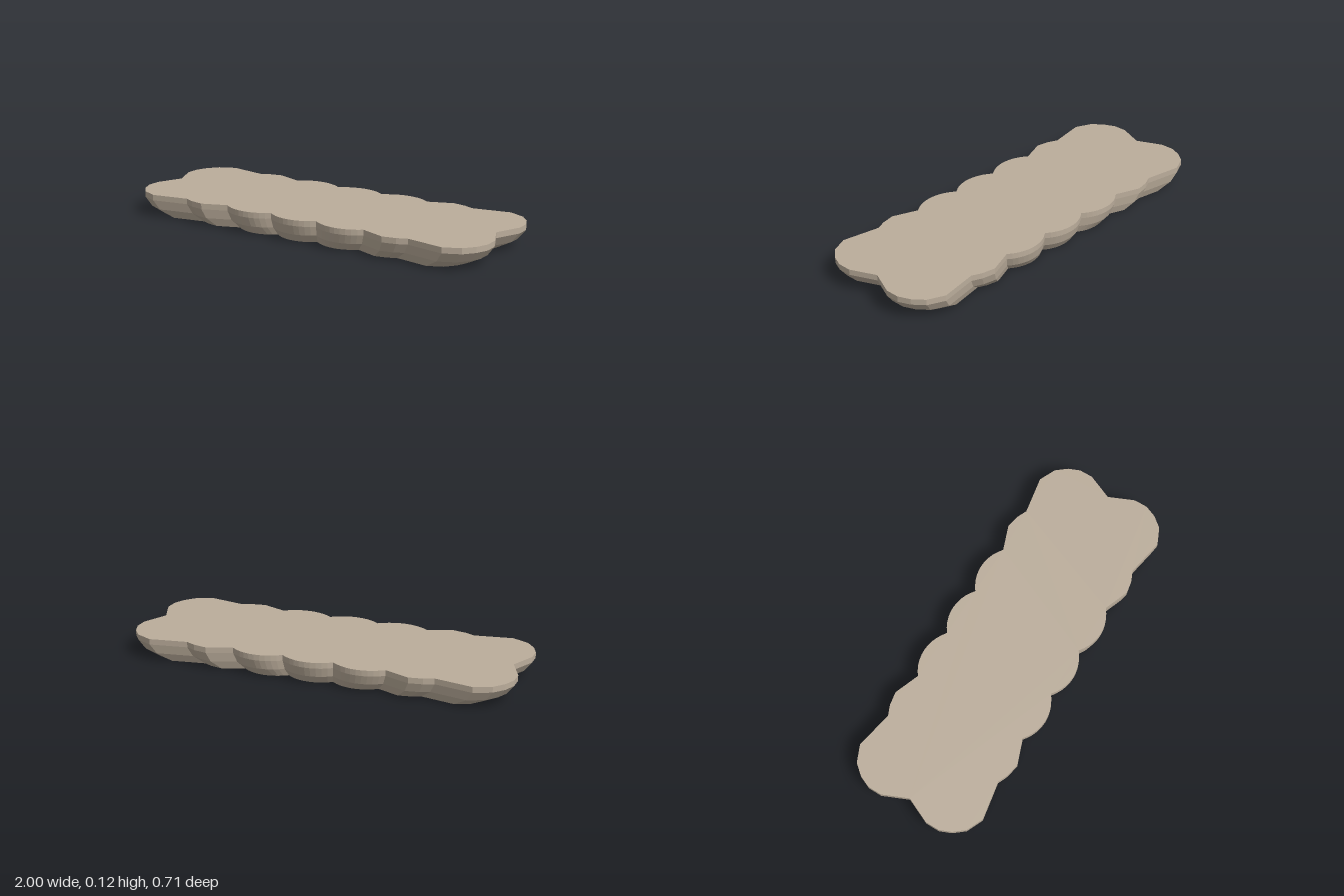
import * as THREE from 'three';

// One quarter of the scalloped rim, from the middle of the long side to the middle of the short end
function quarterOutline() {
  const pts = [];
  const half = 0.133, crest = 0.353, sag = 0.048;
  const r = (half * half + sag * sag) / (2 * sag);
  const span = Math.asin(half / r);
  const bump = (cx, from, to) => {
    for (let i = from; i <= to; i++) {
      const a = (i / 5) * span;
      pts.push([cx + r * Math.sin(a), crest - r + r * Math.cos(a)]);
    }
  };
  bump(0, 0, 5);
  bump(0.268, -4, 5);
  // broad shoulder and rounded corner lobe
  pts.push([0.53, 0.353], [0.6, 0.34], [0.65, 0.318], [0.845, 0.353], [0.93, 0.315],
    [0.975, 0.26], [1, 0.2], [1, 0.13], [0.943, 0]);
  return pts;
}

// Full loop, mirrored in x and z, counter-clockwise in the shape plane
function fullOutline() {
  const q = quarterOutline();
  const n = q.length - 1;
  const back = q.slice().reverse();                            // +x end to back middle
  const left = q.slice(1).map(([x, y]) => [-x, y]);            // back middle to -x end
  const frontLeft = q.slice(0, n).reverse().map(([x, y]) => [-x, -y]);
  const frontRight = q.slice(1, n).map(([x, y]) => [x, -y]);
  return [...back, ...left, ...frontLeft, ...frontRight].map(([x, y]) => new THREE.Vector2(x, y));
}

export function createModel() {
  const group = new THREE.Group();
  group.name = 'scallopedSlab';
  const stone = new THREE.MeshStandardMaterial({ color: 0xbbad9b, flatShading: true });
  stone.name = 'warm stone';

  const outline = fullOutline();
  // [height, scale] of each cross-section, from the foot to the top edge
  const levels = [[0, 0.88], [0.041, 0.963], [0.088, 1], [0.117, 1]];

  // Side wall lofted through the levels
  const pos = [];
  const at = (p, [y, s]) => [p.x * s, y, -p.y * s];
  for (let l = 0; l < levels.length - 1; l++) {
    outline.forEach((p, i) => {
      const next = outline[(i + 1) % outline.length];
      const a = at(p, levels[l]), b = at(next, levels[l]);
      const c = at(next, levels[l + 1]), d = at(p, levels[l + 1]);
      pos.push(...a, ...b, ...c, ...a, ...c, ...d);
    });
  }
  const wallGeo = new THREE.BufferGeometry();
  wallGeo.setAttribute('position', new THREE.Float32BufferAttribute(pos, 3));
  wallGeo.computeVertexNormals();
  const wall = new THREE.Mesh(wallGeo, stone);
  wall.name = 'scallopedSide';
  group.add(wall);

  // Flat top and underside
  const cap = (name, [y, s], down) => {
    const pts = outline.map((p) => new THREE.Vector2(p.x * s, p.y * s));
    const geo = new THREE.ShapeGeometry(new THREE.Shape(pts));
    // the outline is symmetric, so turning the sheet over gives the underside
    geo.rotateX(down ? Math.PI / 2 : -Math.PI / 2);
    geo.translate(0, y, 0);
    const mesh = new THREE.Mesh(geo, stone);
    mesh.name = name;
    group.add(mesh);
  };
  cap('topSurface', levels[3], false);
  cap('underside', levels[0], true);

  return group;
}
